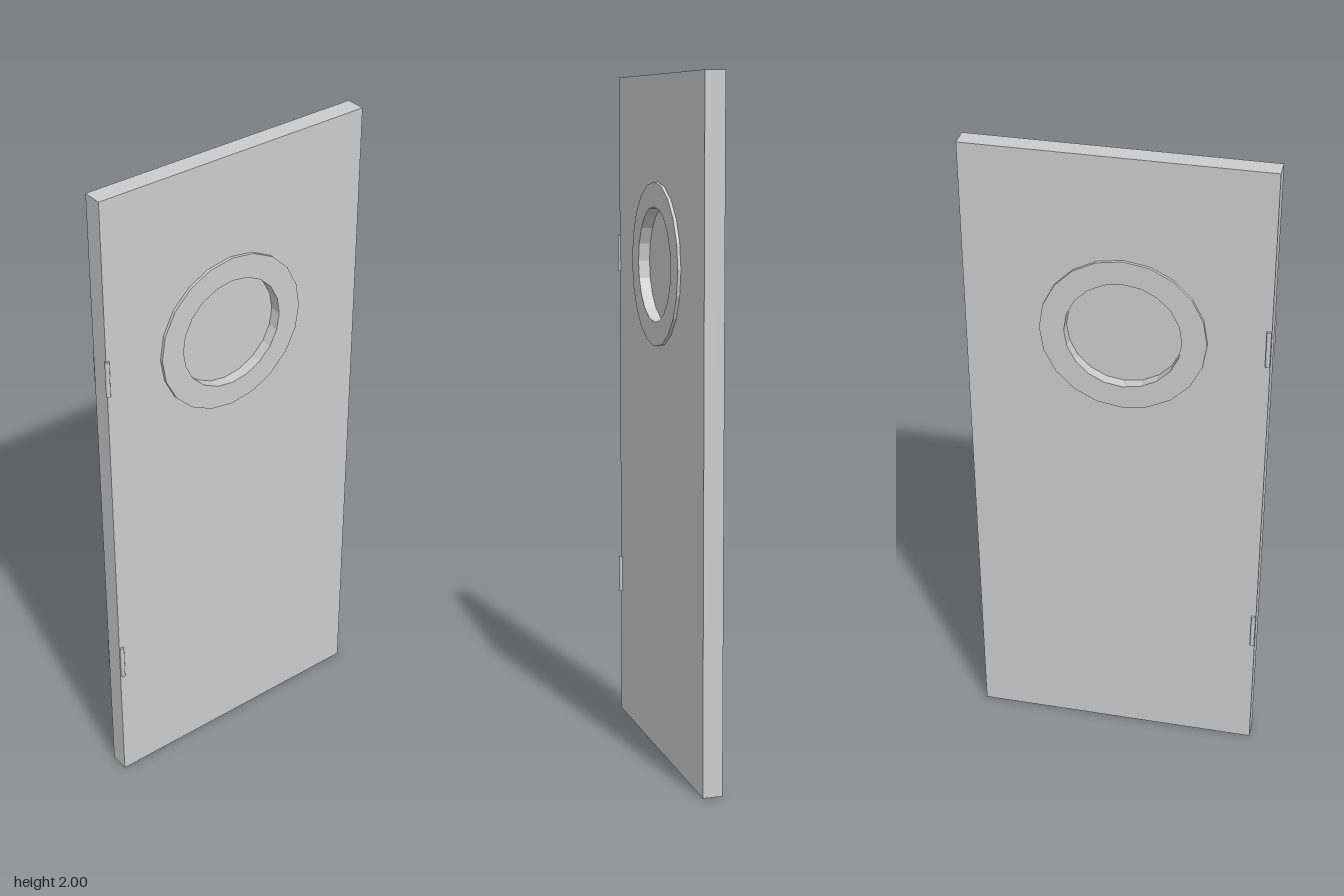
import * as THREE from 'three';

const SIDES = 20;
const CENTRE_Y = 1.457, CENTRE_Z = 0.017;   // porthole centre
const grey = new THREE.MeshStandardMaterial({ color: 0xcccccc });

// Polygonal circle around the porthole centre; shape x runs along -z
function circle(PathType, radius) {
  const points = [];
  for (let i = 0; i < SIDES; i++) {
    const a = (i / SIDES) * Math.PI * 2;
    points.push(new THREE.Vector2(-CENTRE_Z + radius * Math.cos(a), CENTRE_Y + radius * Math.sin(a)));
  }
  return new PathType(points);
}

// Extrude a side-on outline evenly to both sides of x = 0
function slab(name, shape, thickness) {
  const geometry = new THREE.ExtrudeGeometry(shape, { depth: thickness, bevelEnabled: false });
  geometry.translate(0, 0, -thickness / 2).rotateY(Math.PI / 2);
  const mesh = new THREE.Mesh(geometry, grey);
  mesh.name = name;
  return mesh;
}

export function createModel() {
  const door = new THREE.Group();
  door.name = 'door';

  // Door leaf with a round opening
  const leaf = new THREE.Shape([
    new THREE.Vector2(-0.431, 0), new THREE.Vector2(0.436, 0),
    new THREE.Vector2(0.436, 2), new THREE.Vector2(-0.431, 2),
  ]);
  leaf.holes.push(circle(THREE.Path, 0.18));
  door.add(slab('doorPanel', leaf, 0.058));

  // Porthole frame, standing proud on both faces
  const frame = circle(THREE.Shape, 0.238);
  frame.holes.push(circle(THREE.Path, 0.167));
  door.add(slab('windowFrame', frame, 0.076));

  // Recessed pane
  door.add(slab('windowPane', circle(THREE.Shape, 0.17), 0.008));

  // Hinge pins along the front edge: x, y, z
  const pins = [
    [0.029, 1.465, 0.428], [-0.031, 1.465, 0.423],
    [0.031, 0.446, 0.423], [-0.031, 0.446, 0.423],
  ];
  const pinGeometry = new THREE.CylinderGeometry(0.0065, 0.0065, 0.112, 12);
  for (const [x, y, z] of pins) {
    const pin = new THREE.Mesh(pinGeometry, grey);
    pin.name = 'hingePin';
    pin.position.set(x, y, z);
    door.add(pin);
  }
  return door;
}
